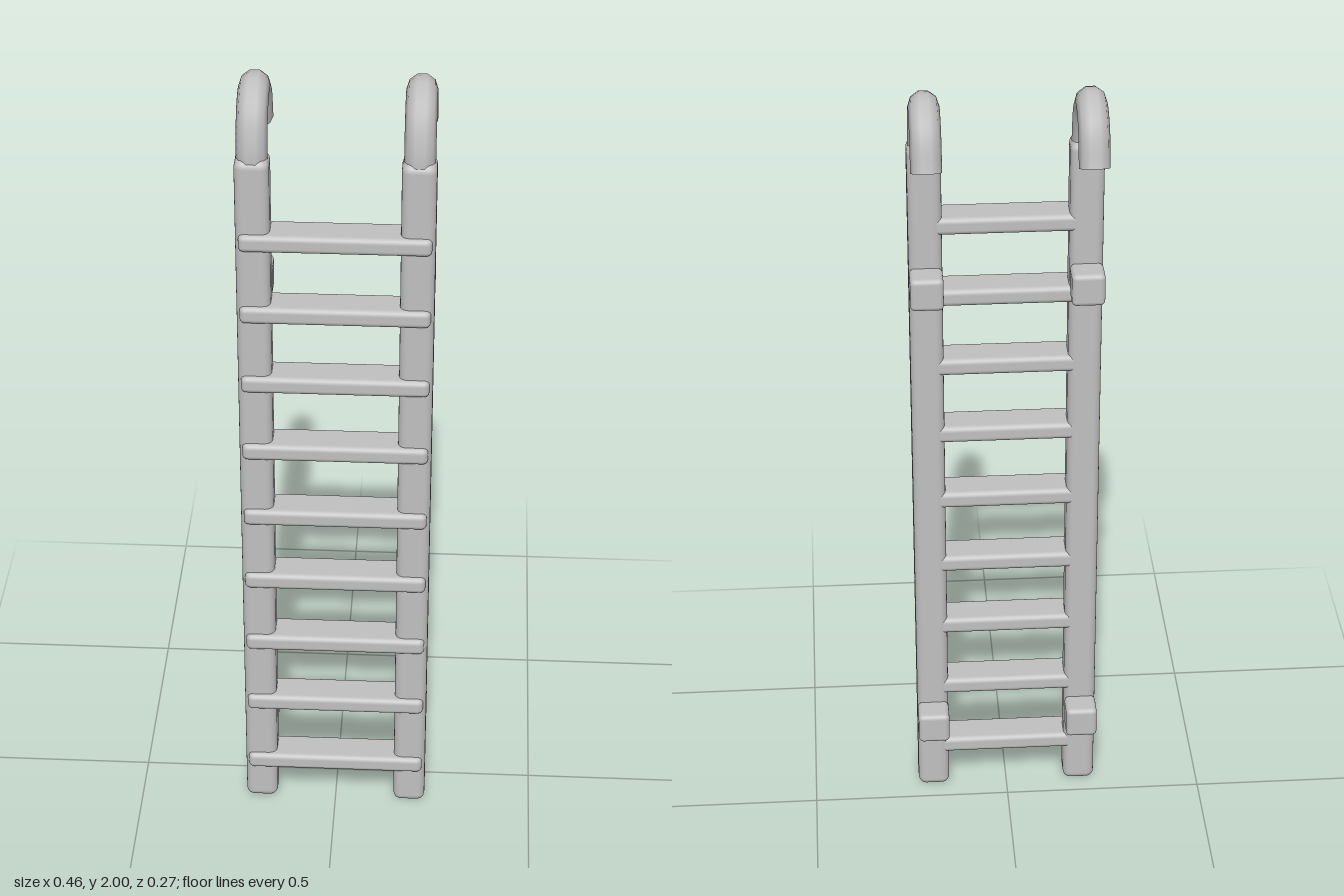
import * as THREE from 'three';
import { RoundedBoxGeometry } from 'three/addons/geometries/RoundedBoxGeometry.js';

export function createModel() {
  const ladder = new THREE.Group();
  ladder.name = 'ladder';
  const metal = new THREE.MeshStandardMaterial({ color: 0xc0c0c0 });
  metal.name = 'grey metal';

  const add = (name, geometry, x, y, z) => {
    const mesh = new THREE.Mesh(geometry, metal);
    mesh.name = name;
    mesh.position.set(x, y, z);
    ladder.add(mesh);
    return mesh;
  };

  // Hook path, rising from the rail top and curling to the back
  const hookPath = new THREE.CatmullRomCurve3([
    [1.79, 0.084], [1.86, 0.081], [1.934, 0.052],
    [1.964, -0.008], [1.931, -0.067], [1.846, -0.1],
  ].map(([y, z]) => new THREE.Vector3(0, y, z)));
  const hookRadius = 0.036;
  const hookGeometry = new THREE.TubeGeometry(hookPath, 24, hookRadius, 10, false);
  const capGeometry = new THREE.CircleGeometry(hookRadius, 10);
  const tip = hookPath.getPoint(1);
  const tipDirection = hookPath.getTangent(1);

  const railGeometry = new RoundedBoxGeometry(0.08, 1.838, 0.079, 3, 0.02);
  const spacerGeometry = new RoundedBoxGeometry(0.079, 0.082, 0.074, 3, 0.012);

  for (const [side, x] of [['left', 0.19], ['right', -0.19]]) {
    add(side + 'Rail', railGeometry, x, 0.919, 0.083);
    add(side + 'Hook', hookGeometry, x, 0, 0);
    // Flat end of the hook
    const cap = add(side + 'HookEnd', capGeometry, x, tip.y, tip.z);
    cap.quaternion.setFromUnitVectors(new THREE.Vector3(0, 0, 1), tipDirection);
    // Wall spacers behind the rail
    add(side + 'LowerSpacer', spacerGeometry, x, 0.23, 0.015);
    add(side + 'UpperSpacer', spacerGeometry, x, 1.49, 0.015);
  }

  // Nine evenly spaced rungs
  const rungGeometry = new RoundedBoxGeometry(0.444, 0.043, 0.09, 3, 0.013);
  for (let i = 0; i < 9; i++) {
    add('rung' + (i + 1), rungGeometry, 0, 0.126 + i * 0.1885, 0.09);
  }
  return ladder;
}
